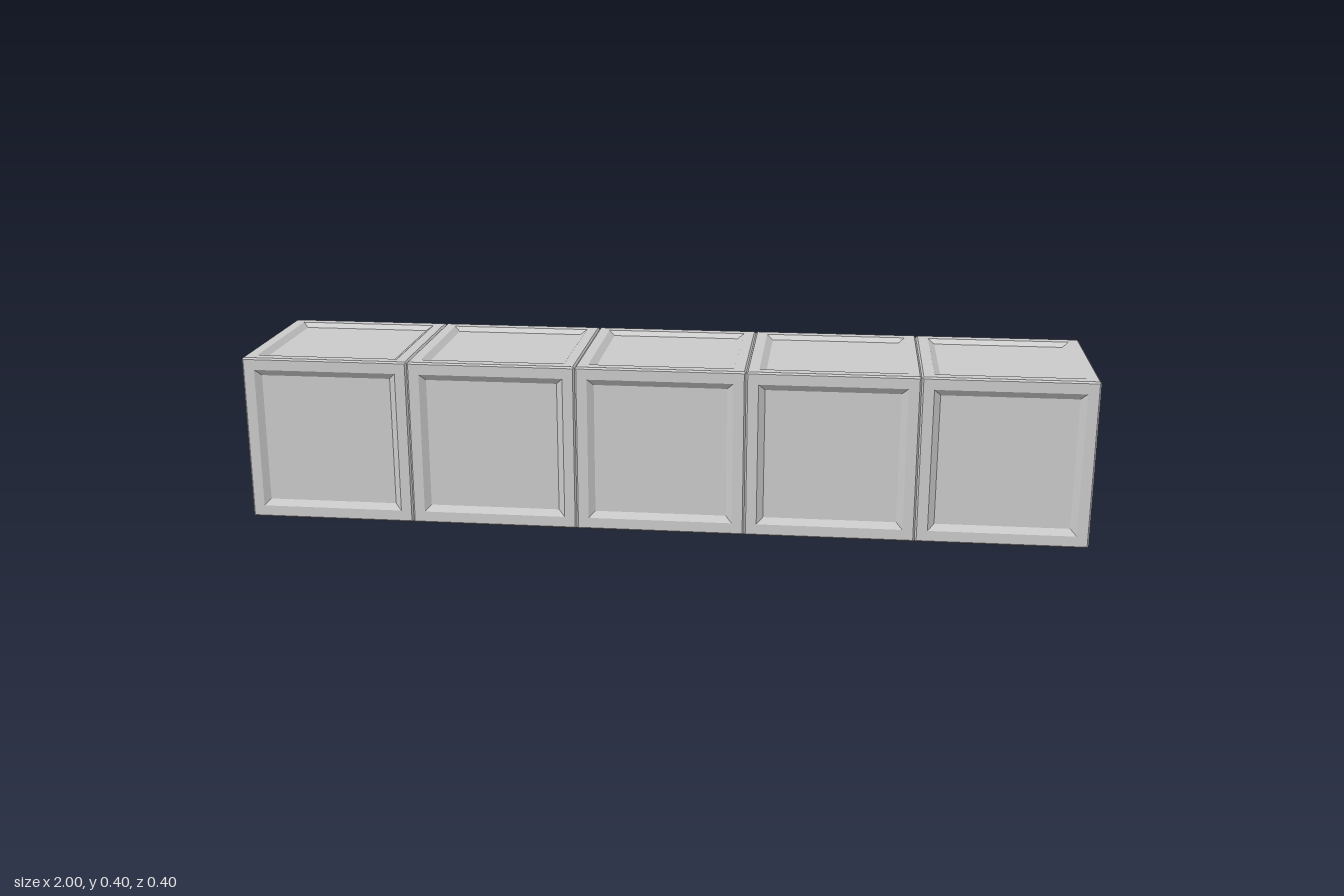
import * as THREE from 'three';

const COUNT = 5;
const SIZE = 0.4;

// Half-width and height of one cube side: mitred edge chamfer, flat rim, sloped recess, panel
const SIDE_PROFILE = [
  [0.198, 0.198],
  [0.196, 0.2],
  [0.171, 0.2],
  [0.156, 0.19],
  [0, 0.19],
];

// Rotations that turn the upward side towards each of the six directions
const SIDES = {
  top: [0, 0, 0],
  bottom: [Math.PI, 0, 0],
  front: [Math.PI / 2, 0, 0],
  back: [-Math.PI / 2, 0, 0],
  left: [0, 0, -Math.PI / 2],
  right: [0, 0, Math.PI / 2],
};

export function createModel() {
  const model = new THREE.Group();
  model.name = 'cubeRow';
  const material = new THREE.MeshStandardMaterial({ color: 0xcccccc, flatShading: true });

  // A four-sided lathe gives square rings around the panel
  const points = SIDE_PROFILE.map(([half, y]) => new THREE.Vector2(half * Math.SQRT2, y));
  const sideGeometry = new THREE.LatheGeometry(points, 4, Math.PI / 4).toNonIndexed();
  sideGeometry.computeVertexNormals();

  // Row of identical panelled cubes
  for (let i = 0; i < COUNT; i++) {
    const cube = new THREE.Group();
    cube.name = `cube${i + 1}`;
    cube.position.set((i - (COUNT - 1) / 2) * SIZE, SIZE / 2, 0);
    for (const [name, rotation] of Object.entries(SIDES)) {
      const side = new THREE.Mesh(sideGeometry, material);
      side.name = `${name}Panel`;
      side.rotation.set(...rotation);
      cube.add(side);
    }
    model.add(cube);
  }
  return model;
}
